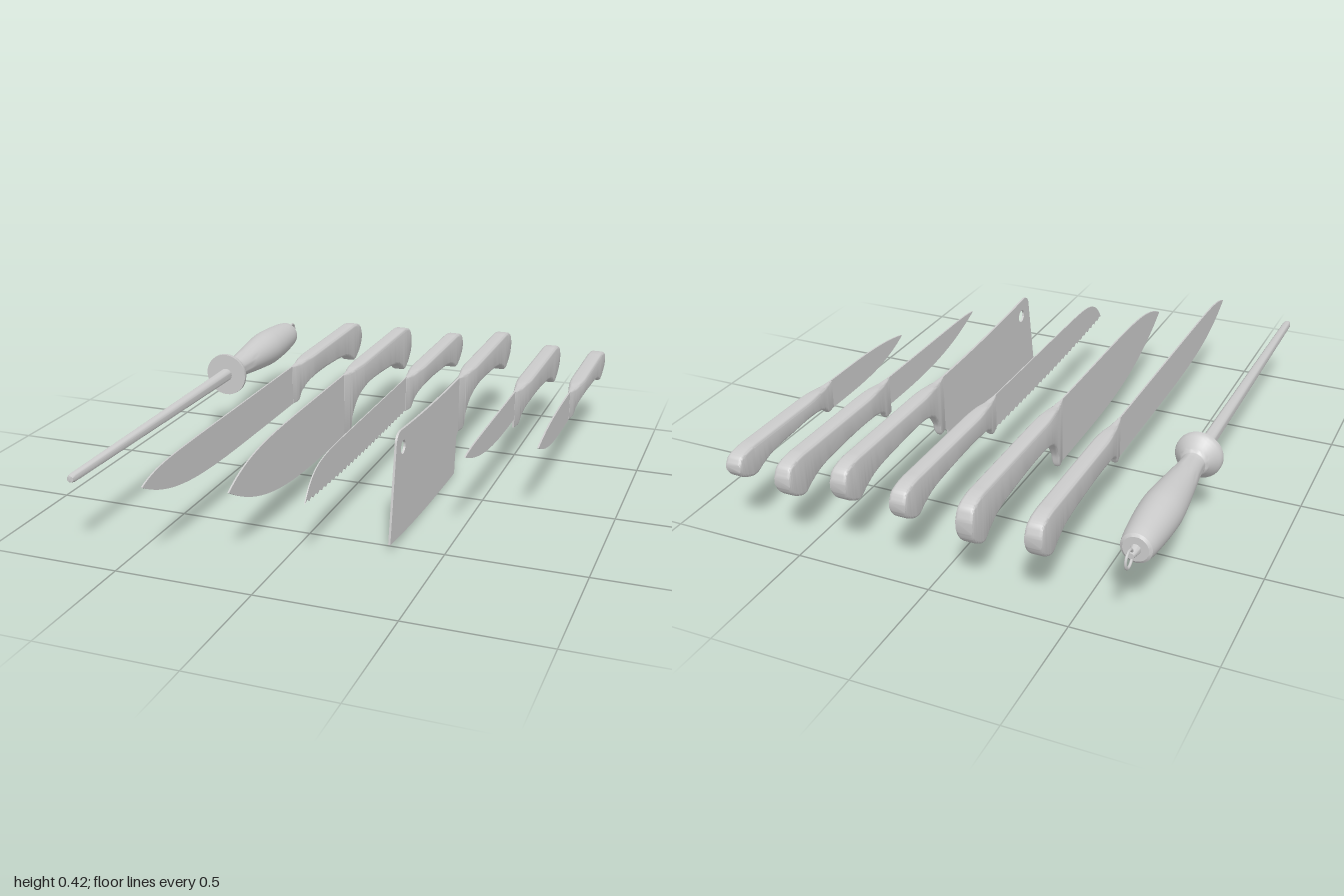
import * as THREE from 'three';
import { toCreasedNormals } from 'three/addons/utils/BufferGeometryUtils.js';

const material = new THREE.MeshStandardMaterial({ color: 0xcccccc, side: THREE.DoubleSide });

function addMesh(parent, name, geometry) {
  const mesh = new THREE.Mesh(geometry, material);
  mesh.name = name;
  parent.add(mesh);
}

// Rounded rectangle cross-section, counter-clockwise seen from +z
function section(halfWidth, bottom, top, z) {
  const halfHeight = (top - bottom) / 2, mid = (top + bottom) / 2;
  const r = Math.min(0.012, halfWidth * 0.8, halfHeight * 0.8);
  const ring = [];
  for (let corner = 0; corner < 4; corner++) {
    for (let k = 0; k < 4; k++) {
      const a = (corner + k / 3) * Math.PI / 2;
      const sx = corner === 0 || corner === 3 ? 1 : -1, sy = corner < 2 ? 1 : -1;
      ring.push([sx * (halfWidth - r) + r * Math.cos(a), mid + sy * (halfHeight - r) + r * Math.sin(a), z]);
    }
  }
  return ring;
}

// Skin over a row of sections running toward +z, closed at both ends
function loft(rings) {
  const n = rings[0].length, index = [];
  const last = (rings.length - 1) * n;
  for (let s = 0; s < last; s += n) {
    for (let i = 0; i < n; i++) {
      const a = s + i, b = s + (i + 1) % n;
      index.push(a, b, b + n, a, b + n, a + n);
    }
  }
  for (let i = 1; i < n - 1; i++) index.push(0, i + 1, i, last, last + i, last + i + 1);
  const g = new THREE.BufferGeometry();
  g.setAttribute('position', new THREE.Float32BufferAttribute(rings.flat(2), 3));
  g.setIndex(index);
  return toCreasedNormals(g, 0.7);
}

// Handle and bolster: height follows a profile, width tapers into the blade
function handleGeometry({ front, top, beak, heel }) {
  const h = top - beak, grip = beak + h * 0.42, rise = grip - heel, spine = top - 0.003;
  const profile = [ // bottom, top, z
    [beak + h * 0.42, top - h * 0.3, -1],
    [beak + h * 0.25, top - h * 0.12, -0.985],
    [beak + h * 0.1, top - h * 0.04, -0.955],
    [beak, top, -0.91],
    [beak + h * 0.13, top, -0.87],
    [beak + h * 0.28, top, -0.81],
    [grip - 0.005, top, -0.66],
    [grip, top, front - 0.18],
    [heel + rise * 0.8, top, front - 0.11],
    [heel + rise * 0.4, spine, front - 0.065],
    [heel, spine, front - 0.045],
    [heel, spine, front],
  ].map(p => new THREE.Vector3(...p));
  const points = new THREE.CatmullRomCurve3(profile, false, 'centripetal').getPoints(77);
  return loft(points.map(p => {
    const u = THREE.MathUtils.clamp((p.z - front) / 0.19 + 1, 0, 1);
    return section(0.004 + 0.026 * (1 - u ** 1.6), p.x, p.y, p.z);
  }));
}

// Flat outline drawn as (z, y), turned to stand along the z axis
function bladeGeometry(shape, thickness) {
  const g = new THREE.ExtrudeGeometry(shape, { depth: thickness, bevelEnabled: false, curveSegments: 20 });
  g.translate(0, 0, -thickness / 2);
  g.rotateY(-Math.PI / 2);
  return toCreasedNormals(g, 0.5);
}

// Pointed blade: spine drops and edge rises to the tip, each by its own power
function pointedBlade({ front, top, heel, edge = heel, tip, belly, drop, teeth = 0 }) {
  const [tipZ, tipY] = tip, spine = top - 0.003, n = teeth ? teeth * 6 : 48;
  const z = u => front + (tipZ - front) * u;
  const shape = new THREE.Shape();
  shape.moveTo(front - 0.02, spine);
  for (let i = 0; i <= n; i++) shape.lineTo(z(i / n), spine + (tipY - spine) * (i / n) ** drop);
  for (let i = n - 1; i >= 0; i--) {
    const scallop = 0.009 * Math.abs(Math.sin(i / n * teeth * Math.PI));
    shape.lineTo(z(i / n), edge + (tipY - edge) * (i / n) ** belly + scallop);
  }
  shape.lineTo(front - 0.02, edge);
  return bladeGeometry(shape, teeth ? 0.004 : 0.006);
}

// Broad chopping blade with a hanging hole
function cleaverBlade({ front, top, heel }) {
  const shape = new THREE.Shape();
  shape.moveTo(front - 0.02, top - 0.004);
  shape.quadraticCurveTo(0.12, 0.388, 0.45, 0.418);
  shape.quadraticCurveTo(0.497, 0.421, 0.504, 0.385);
  shape.lineTo(0.563, 0.035);
  shape.quadraticCurveTo(0.25, 0, -0.22, 0);
  shape.lineTo(-0.237, 0.15);
  shape.lineTo(front, heel);
  shape.lineTo(front - 0.02, heel);
  shape.holes.push(new THREE.Path().absarc(0.434, 0.35, 0.025, 0, Math.PI * 2, true));
  return bladeGeometry(shape, 0.008);
}

const knives = [
  { name: 'slicingKnife', x: -0.38, front: -0.25, top: 0.36, beak: 0.195, heel: 0.198, tip: [1, 0.32], belly: 5.8, drop: 14 },
  { name: 'chefKnife', x: -0.14, front: -0.21, top: 0.364, beak: 0.177, heel: 0.105, tip: [0.857, 0.28], belly: 3.7, drop: 7 },
  { name: 'breadKnife', x: 0.1, front: -0.27, top: 0.36, beak: 0.215, heel: 0.218, tip: [0.783, 0.245], belly: 3, drop: 15, teeth: 28 },
  { name: 'cleaver', x: 0.32, front: -0.26, top: 0.388, beak: 0.228, heel: 0.163 },
  { name: 'boningKnife', x: 0.54, front: -0.28, top: 0.35, beak: 0.193, heel: 0.2, edge: 0.235, tip: [0.425, 0.337], belly: 3, drop: 12 },
  { name: 'paringKnife', x: 0.735, front: -0.375, top: 0.342, beak: 0.226, heel: 0.226, tip: [0.163, 0.302], belly: 3.5, drop: 3.5 },
];

// Round bar with guard and grip, turned about the z axis
function sharpeningSteel() {
  const steel = new THREE.Group();
  steel.name = 'sharpeningSteel';
  steel.position.set(-0.683, 0.285, 0);
  const turned = (name, points) => {
    const g = new THREE.LatheGeometry(points, 32);
    g.rotateX(Math.PI / 2);
    addMesh(steel, name, toCreasedNormals(g, 0.6));
  };
  const v = (r, z) => new THREE.Vector2(r, z);
  turned('rod', [v(0.026, -0.28), v(0.016, 0.93), v(0.012, 0.947), v(0, 0.95)]);
  const grip = new THREE.SplineCurve([v(0.054, -0.9), v(0.062, -0.85), v(0.072, -0.72), v(0.07, -0.61),
    v(0.044, -0.37), v(0.051, -0.33), v(0.082, -0.284)]).getPoints(40);
  turned('gripAndGuard', [v(0, -0.907), v(0.044, -0.907), ...grip, v(0.086, -0.276), v(0.086, -0.262), v(0, -0.262)]);
  turned('endCap', [v(0, -0.95), v(0.01, -0.948), v(0.02, -0.9)]);
  // Hanging loop, standing upright behind the cap
  const loop = new THREE.TorusGeometry(0.03, 0.005, 8, 32);
  loop.rotateY(Math.PI / 2);
  loop.translate(0, 0, -0.965);
  addMesh(steel, 'hangingLoop', loop);
  return steel;
}

export function createModel() {
  const model = new THREE.Group();
  model.name = 'knifeSet';
  for (const spec of knives) {
    const knife = new THREE.Group();
    knife.name = spec.name;
    knife.position.x = spec.x;
    addMesh(knife, 'handle', handleGeometry(spec));
    addMesh(knife, 'blade', spec.tip ? pointedBlade(spec) : cleaverBlade(spec));
    model.add(knife);
  }
  model.add(sharpeningSteel());
  return model;
}
